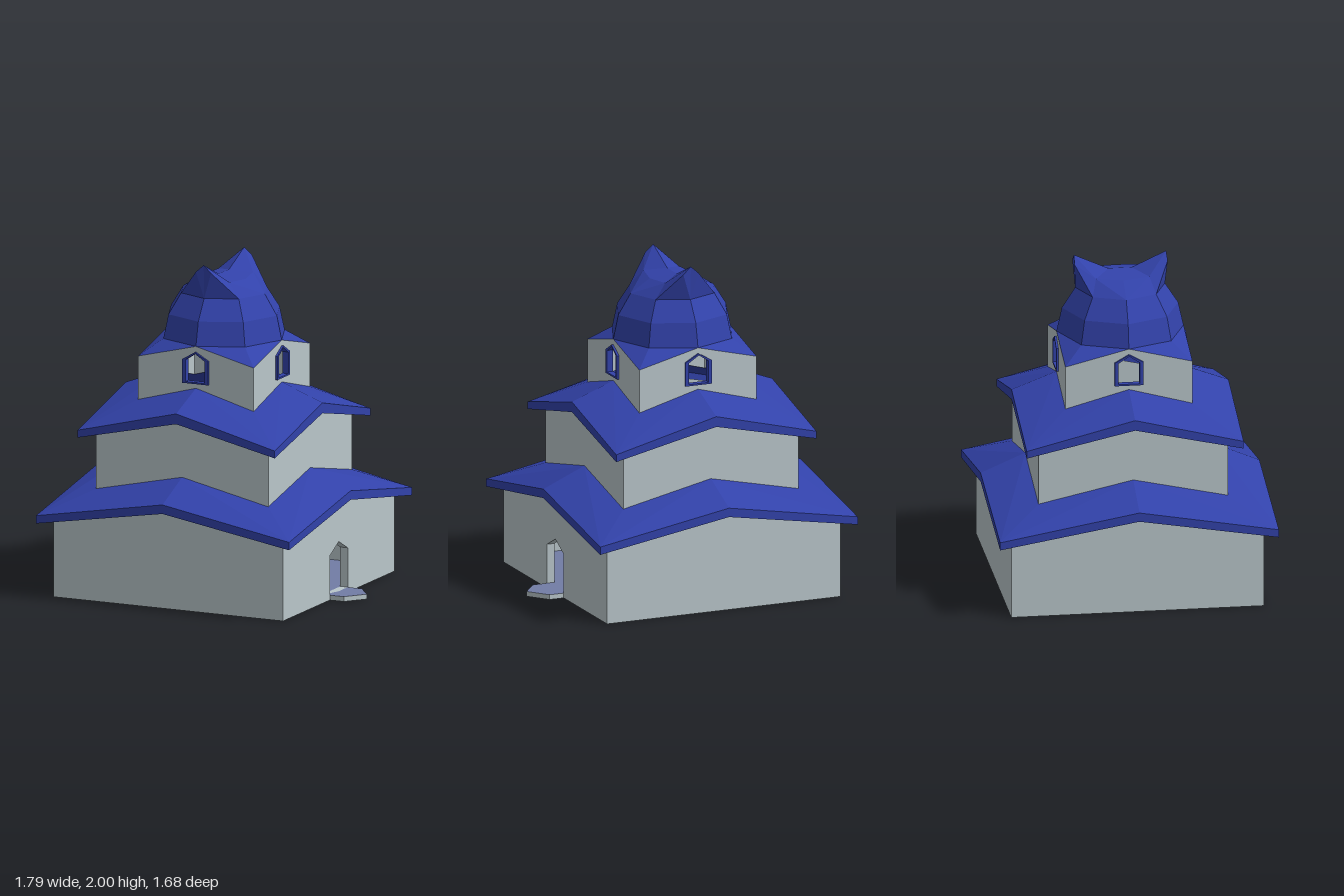
import * as THREE from 'three';

const V = (x, y, z) => new THREE.Vector3(x, y, z);

// Flat-faced geometry from a list of triangles
function fromTriangles(tris) {
  const geo = new THREE.BufferGeometry().setFromPoints(tris.flat());
  geo.computeVertexNormals();
  return geo;
}

// Eight points round a square whose edge heights rise from corner to middle
const squareRing = (half, mid, corner) => Array.from({ length: 8 }, (_, k) => {
  const a = k * Math.PI / 4, r = half * (k % 2 ? Math.SQRT2 : 1);
  return V(Math.cos(a) * r, k % 2 ? corner : mid, Math.sin(a) * r);
});

const octagonRing = (r, y) => Array.from({ length: 8 }, (_, k) =>
  V(Math.cos(k * Math.PI / 4) * r, y, Math.sin(k * Math.PI / 4) * r));

// Skin between successive rings, running upward on the outside
function loft(rings) {
  const tris = [];
  for (let i = 0; i < rings.length - 1; i++) {
    for (let k = 0; k < 8; k++) {
      const a = rings[i], b = rings[i + 1], n = (k + 1) % 8;
      // split every quad from its corner point so the sides mirror
      if (k % 2) tris.push([a[k], b[k], b[n]], [a[k], b[n], a[n]]);
      else tris.push([a[k], b[k], a[n]], [b[k], b[n], a[n]]);
    }
  }
  return fromTriangles(tris);
}

// Closed strip swept from one closed outline to another
function band(from, to) {
  const tris = [];
  from.forEach((p, i) => {
    const n = (i + 1) % from.length;
    tris.push([p, from[n], to[n]], [p, to[n], to[i]]);
  });
  return fromTriangles(tris);
}

// Pointed opening outline
const gable = (half, bottom, shoulder, peak) => [
  [-half, bottom], [half, bottom], [half, shoulder], [0, peak], [-half, shoulder],
].map(([x, y]) => new THREE.Vector2(x, y));

export function createModel() {
  const model = new THREE.Group();
  const tower = new THREE.Group();
  tower.name = 'tower';
  tower.position.x = -0.057;
  model.add(tower);

  const mat = (name, color) => {
    const m = new THREE.MeshStandardMaterial({ color, side: THREE.DoubleSide });
    m.name = name;
    return m;
  };
  const wallMat = mat('pale stone', 0xb9c6ca);
  const roofMat = mat('blue roof', 0x3242aa);
  const floorMat = mat('slate floor', 0x727da6);

  const add = (name, geo, material, turn = 0) => {
    const mesh = new THREE.Mesh(geo, material);
    mesh.name = name;
    mesh.rotation.y = turn;
    tower.add(mesh);
    return mesh;
  };

  const windowHole = gable(0.064, 1.308, 1.44, 1.482);
  const doorHole = gable(0.122, 0.03, 0.27, 0.333);

  // Storey walls: heights given as [middle, corner]
  const storeys = [
    { name: 'lowerWall', half: 0.76, low: [0, 0], high: [0.63, 0.496] },
    { name: 'middleWall', half: 0.57, low: [0.765, 0.64], high: [1.135, 1.008] },
    { name: 'upperWall', half: 0.382, low: [1.27, 1.165], high: [1.525, 1.43] },
  ];
  storeys.forEach(({ name, half, low, high }, level) => {
    for (let side = 0; side < 4; side++) {
      const shape = new THREE.Shape([
        [-half, low[1]], [0, low[0]], [half, low[1]],
        [half, high[1]], [0, high[0]], [-half, high[1]],
      ].map(([x, y]) => new THREE.Vector2(x, y)));
      if (level === 2) shape.holes.push(new THREE.Path(windowHole));
      if (level === 0 && side === 1) shape.holes.push(new THREE.Path(doorHole));
      const geo = new THREE.ShapeGeometry(shape).translate(0, 0, half);
      add(name, geo, wallMat, side * Math.PI / 2);
    }
  });

  // Flared roofs with thick eaves
  add('lowerRoof', loft([
    squareRing(0.76, 0.63, 0.496), squareRing(0.838, 0.595, 0.455),
    squareRing(0.838, 0.65, 0.503), squareRing(0.57, 0.765, 0.64),
  ]), roofMat);
  add('middleRoof', loft([
    squareRing(0.57, 1.135, 1.008), squareRing(0.652, 1.105, 0.96),
    squareRing(0.652, 1.168, 1.005), squareRing(0.382, 1.27, 1.165),
  ]), roofMat);

  // Top roof rising into an eight-sided dome
  add('dome', loft([
    squareRing(0.382, 1.525, 1.43), octagonRing(0.382, 1.525),
    octagonRing(0.35, 1.67), octagonRing(0.27, 1.795),
  ]), roofMat);

  // Two-horned crown: one quarter, mirrored in x and z
  const crown = [];
  for (const sx of [1, -1]) for (const sz of [1, -1]) {
    const P = (x, y, z) => V(x * sx, y, z * sz);
    const A = P(0.27, 1.795, 0), B = P(0.191, 1.795, 0.191), C = P(0, 1.795, 0.27);
    const a = P(0.145, 1.875, 0), b = P(0.115, 1.882, 0.16);
    const shoulder = P(0.05, 1.955, 0.28), tip = P(0, 2, 0.277);
    const m = P(0, 1.905, 0.07), c = P(0, 1.905, 0);
    const quarter = [
      [A, a, b], [A, b, B], [B, shoulder, C], [B, b, shoulder], [C, shoulder, tip],
      [b, tip, shoulder], [b, m, tip], [a, m, b], [a, c, m],
    ];
    crown.push(...quarter.map(([p, q, r]) => (sx * sz > 0 ? [p, q, r] : [p, r, q])));
  }
  add('hornedCrown', fromTriangles(crown), roofMat);

  // Window frames on all four sides
  for (let side = 0; side < 4; side++) {
    const frame = new THREE.Shape(gable(0.086, 1.298, 1.443, 1.492));
    frame.holes.push(new THREE.Path(windowHole));
    const geo = new THREE.ExtrudeGeometry(frame, { depth: 0.04, bevelEnabled: false });
    add('windowFrame', geo.translate(0, 0, 0.355), roofMat, side * Math.PI / 2);
  }

  // Doorway reveal on the left side
  add('doorReveal', band(
    doorHole.map((p) => V(p.x, p.y, 0.71)), doorHole.map((p) => V(p.x, p.y, 0.76)),
  ), wallMat, Math.PI / 2);

  // Raised floor and pointed doorstep
  add('floor', new THREE.PlaneGeometry(1.52, 1.52).rotateX(-Math.PI / 2).translate(0, 0.03, 0), floorMat);
  const step = [[0.76, 0.122], [0.852, 0.122], [0.947, 0], [0.852, -0.122], [0.76, -0.122]];
  const stepShape = new THREE.Shape(step.map(([x, z]) => new THREE.Vector2(x, -z)));
  add('stepTop', new THREE.ShapeGeometry(stepShape).rotateX(-Math.PI / 2).translate(0, 0.03, 0), floorMat);
  add('stepSides', band(
    step.map(([x, z]) => V(x, 0, z)), step.map(([x, z]) => V(x, 0.03, z)),
  ), wallMat);

  return model;
}
